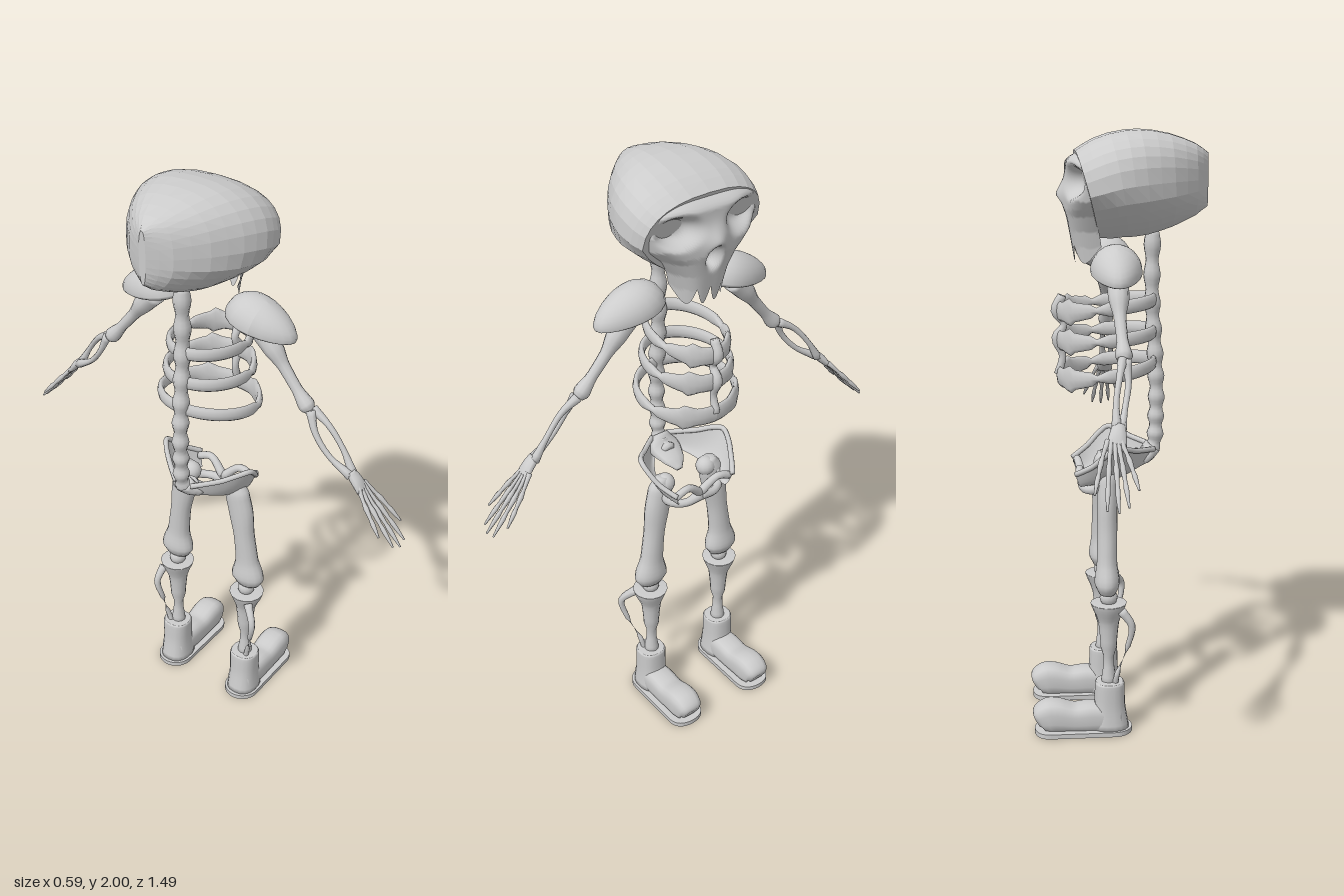
import * as THREE from 'three';
import { ParametricGeometry } from 'three/addons/geometries/ParametricGeometry.js';

const V = (x, y, z) => new THREE.Vector3(x, y, z);
const CZ = -0.01; // middle plane of the body
const boneMat = new THREE.MeshStandardMaterial({ color: 0xcccccc });
const facetMat = new THREE.MeshStandardMaterial({ color: 0xcccccc, flatShading: true });
const thinMat = new THREE.MeshStandardMaterial({ color: 0xcccccc, side: THREE.DoubleSide });

function add(parent, name, geo, mat = boneMat) {
  const m = new THREE.Mesh(geo, mat);
  m.name = name;
  parent.add(m);
  return m;
}

// Sweep of elliptical rings; each point is [x, y, z, radius along ref, other radius]
function sweep(pts, { ref = V(1, 0, 0), steps = 4, sides = 10, closed = false, power = 1 } = {}) {
  const path = new THREE.CatmullRomCurve3(pts.map(p => V(p[0], p[1], p[2])), closed);
  const size = new THREE.CatmullRomCurve3(pts.map(p => V(p[3], p[4] ?? p[3], 0)), closed);
  const n = (closed ? pts.length : pts.length - 1) * steps, pos = [], idx = [];
  const pw = v => Math.sign(v) * Math.abs(v) ** power;
  for (let i = 0; i <= n; i++) {
    const c = path.getPoint(i / n), t = path.getTangent(i / n), r = size.getPoint(i / n);
    const a = ref.clone().addScaledVector(t, -ref.dot(t)).normalize(), b = t.clone().cross(a);
    for (let j = 0; j < sides; j++) {
      const w = j / sides * Math.PI * 2;
      const p = c.clone().addScaledVector(a, pw(Math.cos(w)) * r.x).addScaledVector(b, pw(Math.sin(w)) * r.y);
      pos.push(p.x, p.y, p.z);
    }
  }
  for (let i = 0; i < n; i++) for (let j = 0; j < sides; j++) {
    const k = (j + 1) % sides, q = i * sides, s = q + sides;
    idx.push(q + j, q + k, s + k, q + j, s + k, s + j);
  }
  if (!closed) {
    const e = pos.length / 3, last = n * sides, p0 = path.getPoint(0), p1 = path.getPoint(1);
    pos.push(p0.x, p0.y, p0.z, p1.x, p1.y, p1.z);
    for (let j = 0; j < sides; j++) {
      const k = (j + 1) % sides;
      idx.push(e, k, j, e + 1, last + j, last + k);
    }
  }
  const g = new THREE.BufferGeometry();
  g.setAttribute('position', new THREE.Float32BufferAttribute(pos, 3));
  g.setIndex(idx);
  g.computeVertexNormals();
  return g;
}

function deform(geo, rule) {
  const p = geo.attributes.position, v = V(0, 0, 0);
  for (let i = 0; i < p.count; i++) {
    rule(v.fromBufferAttribute(p, i));
    p.setXYZ(i, v.x, v.y, v.z);
  }
  geo.computeVertexNormals();
  return geo;
}

function buildSkull(root) {
  const skull = new THREE.Group();
  skull.name = 'skull';
  skull.position.z = -0.018;
  root.add(skull);
  // Cranium, narrowing below the cheeks
  const cranium = sweep([
    [-0.292, 1.84, 0, 0.085, 0.012], [-0.25, 1.84, 0, 0.115, 0.08], [-0.17, 1.838, 0, 0.148, 0.155],
    [-0.08, 1.832, 0, 0.168, 0.208], [0, 1.822, 0, 0.168, 0.233], [0.06, 1.806, 0, 0.158, 0.23],
    [0.1, 1.795, 0, 0.145, 0.215]], { ref: V(0, 1, 0), steps: 2, sides: 28, power: 0.8 });
  deform(cranium, v => { v.z *= Math.max(0.5, 1 - 3.5 * Math.max(0, 1.79 - v.y)); });
  add(skull, 'cranium', cranium, facetMat);
  // Face with eye sockets, nose opening and teeth
  const rows = [[1.93, 0.17], [1.89, 0.208], [1.83, 0.22], [1.78, 0.2], [1.73, 0.138], [1.68, 0.106], [1.63, 0.092], [1.56, 0.086]];
  const width = y => {
    for (let i = 1; i < rows.length; i++) if (y >= rows[i][0]) {
      const [a, b] = [rows[i - 1], rows[i]];
      return THREE.MathUtils.lerp(b[1], a[1], (y - b[0]) / (a[0] - b[0]));
    }
    return 0.086;
  };
  const dent = (dy, dz, ry, rz) => Math.exp(-(((dy / ry) ** 2 + (dz / rz) ** 2) ** 2));
  add(skull, 'face', new ParametricGeometry((u, v, out) => {
    const s = u * 2 - 1;
    const bottom = 1.635 - 0.055 * Math.abs(Math.sin(s * 2 * Math.PI));
    const y = THREE.MathUtils.lerp(1.93, bottom, v), z = s * width(y);
    let x = 0.168 - 0.09 * s ** 4 - 0.05 * Math.max(0, (y - 1.89) / 0.04) ** 2 - 0.03 * Math.max(0, 1.75 - y) / 0.17;
    x += 0.03 * Math.exp(-(((y - 1.79) / 0.045) ** 2) - (z / 0.04) ** 2);
    x -= 0.055 * dent(y - 1.84, Math.abs(z) - 0.115, 0.045, 0.06);
    x -= 0.05 * dent(y - 1.74, z, 0.038, 0.025);
    out.set(x, y, z);
  }, 56, 44), thinMat);
}

function buildTorso(root) {
  const torso = new THREE.Group();
  torso.name = 'torso';
  torso.position.z = CZ;
  root.add(torso);
  // Spine with alternating thick and thin rings for the vertebrae
  const line = new THREE.CatmullRomCurve3([V(-0.115, 1.68, 0), V(-0.115, 1.45, 0), V(-0.127, 1.25, 0), V(-0.13, 1.08, 0), V(-0.115, 0.95, 0), V(-0.06, 0.92, 0)]);
  const beads = [];
  for (let i = 0; i <= 24; i++) {
    const p = line.getPoint(i / 24);
    beads.push([p.x, p.y, p.z, i % 2 ? 0.029 : 0.021]);
  }
  add(torso, 'spine', sweep(beads, { ref: V(0, 0, 1), steps: 3 }));
  // Rib rings: [height at back, height at front, half width]
  [[1.455, 1.42, 0.115], [1.35, 1.325, 0.135], [1.25, 1.205, 0.165]].forEach(([yb, yf, w]) => {
    const ring = [];
    for (let i = 0; i < 16; i++) {
      const a = i / 16 * Math.PI * 2, c = Math.cos(a);
      const y = THREE.MathUtils.lerp(yb, yf, (c + 1) / 2);
      ring.push([0.035 + 0.155 * c, y, w * Math.sin(a), c > 0.6 ? 0.032 : 0.023, 0.011]);
    }
    add(torso, 'ribRing', sweep(ring, { ref: V(0, 1, 0), steps: 3, sides: 8, closed: true }));
  });
  add(torso, 'breastbone', sweep([[0.18, 1.47, 0, 0.015], [0.2, 1.42, 0, 0.018], [0.175, 1.375, 0, 0.012],
    [0.198, 1.33, 0, 0.018], [0.18, 1.27, 0, 0.012], [0.195, 1.21, 0, 0.014]]));
  // Pelvis
  add(torso, 'sacrum', sweep([[-0.12, 0.96, 0, 0.03, 0.03], [-0.09, 0.925, 0, 0.06, 0.025], [-0.03, 0.9, 0, 0.04, 0.014], [0, 0.88, 0, 0.012, 0.008]], { ref: V(0, 0, 1) }));
  for (const s of [1, -1]) {
    const inner = new THREE.CatmullRomCurve3([V(-0.11, 0.92, 0.02 * s), V(-0.03, 0.885, 0.08 * s), V(0.05, 0.86, 0.1 * s), V(0.12, 0.85, 0.09 * s)]);
    const outer = new THREE.CatmullRomCurve3([V(-0.12, 0.955, 0.03 * s), V(-0.05, 0.97, 0.11 * s), V(0.02, 0.99, 0.17 * s), V(0.09, 0.93, 0.15 * s), V(0.145, 0.895, 0.115 * s)]);
    add(torso, 'hipBlade', new ParametricGeometry((u, v, out) => {
      out.copy(inner.getPoint(u)).lerp(outer.getPoint(u), v);
      out.y -= 0.02 * Math.sin(v * Math.PI);
    }, 16, 8), thinMat);
    add(torso, 'hipRim', sweep(outer.getPoints(8).map(p => [p.x, p.y, p.z, 0.009]), { sides: 8, ref: V(0.3, 1, 0.2) }));
    add(torso, 'pubicArch', sweep([[0.04, 0.88, 0.11 * s, 0.02], [0.08, 0.84, 0.105 * s, 0.016], [0.115, 0.832, 0.06 * s, 0.014], [0.115, 0.84, 0, 0.02]], { ref: V(0, 1, 0) }));
    add(torso, 'pubicBar', sweep([[0.13, 0.885, 0.11 * s, 0.014], [0.13, 0.9, 0.06 * s, 0.013], [0.115, 0.85, 0, 0.016]], { ref: V(1, 0.2, 0) }));
  }
}

function buildArm(root, s) {
  const arm = new THREE.Group();
  arm.name = s > 0 ? 'armPositiveZ' : 'armNegativeZ';
  arm.position.z = CZ;
  root.add(arm);
  const hx = s > 0 ? 0 : 0.05; // the two hands sit at slightly different depths
  // Shoulder plate: dome with flattened underside, tapering outward
  const dome = deform(new THREE.SphereGeometry(1, 20, 14), v => {
    const taper = 1 - 0.25 * v.z * s;
    v.set(v.x * 0.08 * taper, v.y * (v.y < 0 ? 0.025 : 0.08) * taper, v.z * 0.125);
  });
  const plate = add(arm, 'shoulderPlate', dome);
  plate.position.set(0.017, 1.56, 0.205 * s);
  plate.rotation.x = 0.22 * s;
  add(arm, 'upperArm', sweep([[0.015, 1.54, 0.2 * s, 0.035], [0.015, 1.49, 0.25 * s, 0.033], [0.015, 1.44, 0.29 * s, 0.02],
    [0.012, 1.38, 0.34 * s, 0.018], [0.01, 1.335, 0.38 * s, 0.027], [0.01, 1.32, 0.395 * s, 0.017]]));
  // Two bowed forearm bones
  for (const k of [1, -1]) {
    const bow = 0.014 * k;
    add(arm, 'forearmBone', sweep([[0.01 + bow * 0.5, 1.325, 0.4 * s, 0.016], [hx * 0.3 + bow, 1.275 + bow, (0.445 + bow) * s, 0.01],
      [hx * 0.6 + bow, 1.21 + bow, (0.5 + bow) * s, 0.009], [hx * 0.8 + bow * 0.5, 1.15, 0.56 * s, 0.016]], { sides: 8 }));
  }
  // Hand: wrist and five fanned fingers
  add(arm, 'wrist', sweep([[hx * 0.8, 1.16, 0.555 * s, 0.02, 0.014], [hx * 0.9, 1.135, 0.58 * s, 0.026, 0.014], [hx, 1.11, 0.6 * s, 0.03, 0.009]]));
  [[-0.06, 0.7], [-0.03, 0.93], [-0.002, 1], [0.03, 0.97], [0.062, 0.75]].forEach(([spread, len]) => {
    const pts = [0, 0.3, 0.42, 0.62, 0.72, 0.9, 1].map((t, i) => [
      hx + 0.006 + spread * (0.3 + 0.75 * t ** 0.8), 1.125 - 0.175 * t * len, (0.59 + 0.155 * t * len) * s, [0.009, 0.006, 0.009, 0.006, 0.008, 0.005, 0.003][i]]);
    add(arm, 'finger', sweep(pts, { sides: 7, steps: 2 }));
  });
}

function buildLeg(root, s) {
  const leg = new THREE.Group();
  leg.name = s > 0 ? 'legPositiveZ' : 'legNegativeZ';
  leg.position.z = CZ + 0.005;
  root.add(leg);
  add(leg, 'hipBall', new THREE.SphereGeometry(0.034, 14, 10)).position.set(0.04, 0.885, 0.085 * s);
  add(leg, 'thighBone', sweep([[0.04, 0.915, 0.1 * s, 0.02], [0.04, 0.87, 0.105 * s, 0.033, 0.045], [0.042, 0.8, 0.12 * s, 0.034, 0.046], [0.043, 0.7, 0.135 * s, 0.033, 0.038],
    [0.045, 0.6, 0.147 * s, 0.034, 0.042], [0.045, 0.53, 0.152 * s, 0.042, 0.062], [0.045, 0.495, 0.152 * s, 0.028, 0.045]], { sides: 14 }));
  add(leg, 'kneeBall', new THREE.SphereGeometry(0.03, 14, 10)).position.set(0.04, 0.477, 0.15 * s);
  add(leg, 'shinBone', sweep([[0.04, 0.46, 0.152 * s, 0.061], [0.04, 0.445, 0.152 * s, 0.056], [0.04, 0.39, 0.15 * s, 0.035],
    [0.04, 0.3, 0.15 * s, 0.027], [0.04, 0.16, 0.15 * s, 0.027]], { sides: 14 }));
  // Thin outer bone, bowed further on one side
  const out = s > 0 ? 0.225 : 0.19;
  add(leg, 'calfBone', sweep([[0, 0.44, 0.185 * s, 0.016], [-0.034, 0.39, out * s, 0.012], [-0.022, 0.31, (out - 0.015) * s, 0.009],
    [0.012, 0.22, 0.18 * s, 0.009], [0.02, 0.17, 0.168 * s, 0.01]], { ref: V(0, 0, 1), sides: 8 }));
  // Boot: shaft, rounded foot and flat sole
  add(leg, 'bootShaft', sweep([[0.037, 0.18, 0.152 * s, 0.045, 0.047], [0.037, 0.172, 0.152 * s, 0.05, 0.051], [0.037, 0.1, 0.152 * s, 0.052, 0.05], [0.037, 0.01, 0.152 * s, 0.066, 0.056]], { sides: 18, power: 0.85 }));
  add(leg, 'bootFoot', sweep([[0, 0.05, 0.152 * s, 0.045, 0.045], [0.1, 0.054, 0.152 * s, 0.051, 0.05], [0.16, 0.052, 0.152 * s, 0.047, 0.05],
    [0.235, 0.062, 0.152 * s, 0.056, 0.052], [0.272, 0.052, 0.152 * s, 0.045, 0.045], [0.284, 0.045, 0.152 * s, 0.025, 0.03]], { ref: V(0, 1, 0), sides: 18, power: 0.7 }));
  const outline = new THREE.Shape();
  outline.absarc(0.024, 0, 0.063, Math.PI / 2, Math.PI * 1.5);
  outline.lineTo(0.24, -0.063);
  outline.quadraticCurveTo(0.29, -0.06, 0.292, 0);
  outline.quadraticCurveTo(0.29, 0.06, 0.24, 0.063);
  const sole = add(leg, 'bootSole', new THREE.ExtrudeGeometry(outline, { depth: 0.016, bevelEnabled: false }));
  sole.rotation.x = -Math.PI / 2;
  sole.position.z = 0.152 * s;
}

export function createModel() {
  const root = new THREE.Group();
  root.name = 'skeleton';
  buildSkull(root);
  buildTorso(root);
  for (const s of [1, -1]) {
    buildArm(root, s);
    buildLeg(root, s);
  }
  return root;
}
